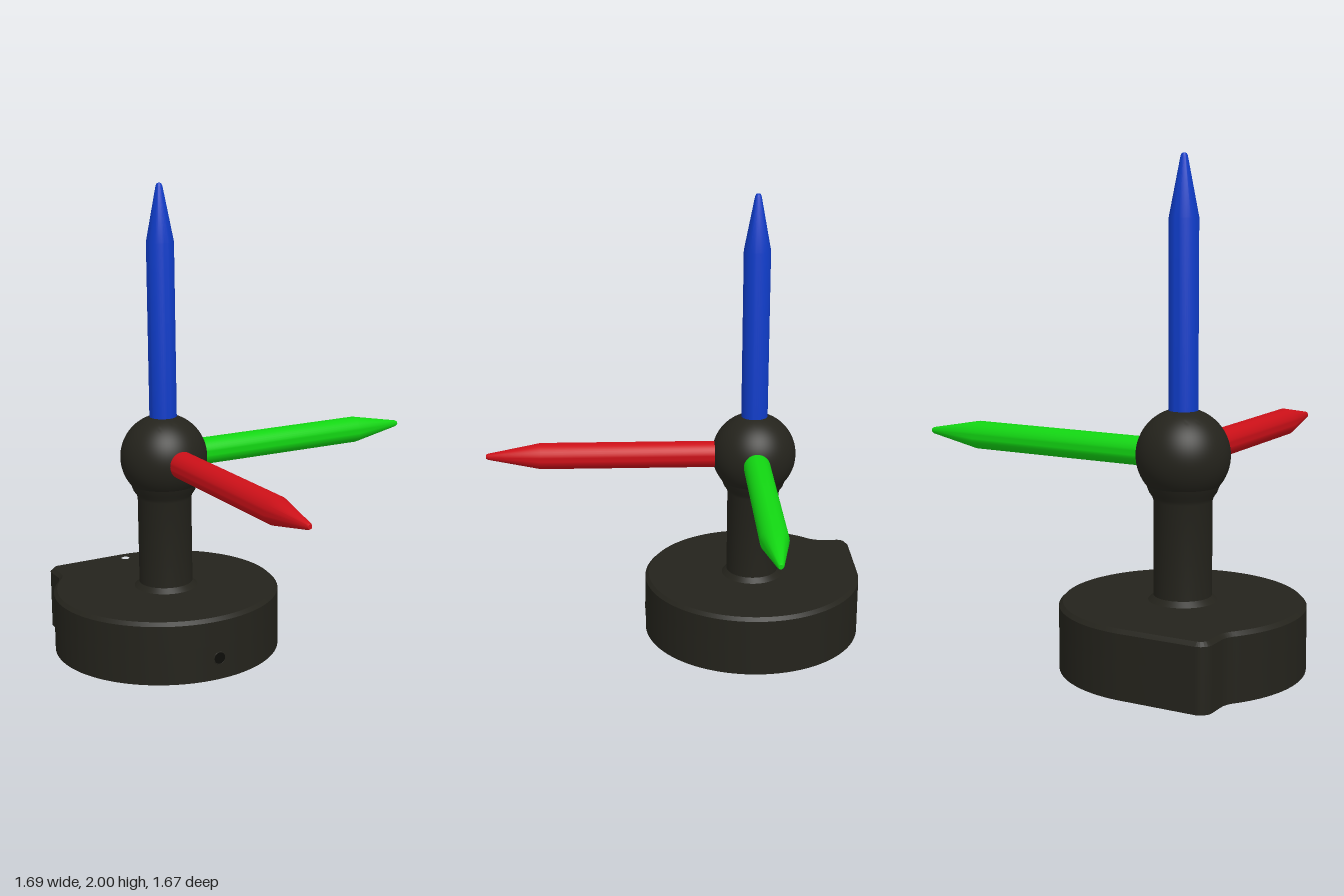
import * as THREE from 'three';
import { toCreasedNormals } from 'three/addons/utils/BufferGeometryUtils.js';

const DARK = 0x24231c;
const BALL_Y = 0.842, BASE_R = 0.485, PEN_R = 0.058;

function addMesh(parent, name, geometry, color, side = THREE.FrontSide) {
  const material = new THREE.MeshStandardMaterial({ color, side });
  const mesh = new THREE.Mesh(toCreasedNormals(geometry, 0.5), material);
  mesh.name = name;
  parent.add(mesh);
  return mesh;
}

function lathe(points, segments = 64) {
  return new THREE.LatheGeometry(points.map(([r, y]) => new THREE.Vector2(r, y)), segments);
}

function circleHole(x, y, r) {
  return new THREE.Path().absarc(x, y, r, 0, Math.PI * 2, true);
}

// Round plan with a square-cornered tab at the back right and one bolt hole
function basePlan() {
  const s = new THREE.Shape();
  s.moveTo(0, BASE_R);
  s.absarc(0, 0, BASE_R, Math.PI / 2, THREE.MathUtils.degToRad(142), true);
  s.quadraticCurveTo(-0.355, 0.33, -0.355, 0.365);
  s.lineTo(-0.355, 0.435);
  s.absarc(-0.305, 0.435, 0.05, Math.PI, Math.PI / 2, true);
  s.closePath();
  s.holes.push(circleHole(0, 0.415, 0.033));
  return s;
}

function extrudeUp(shape, y, options) {
  return new THREE.ExtrudeGeometry(shape, { curveSegments: 64, ...options })
    .rotateX(-Math.PI / 2).translate(0, y, 0);
}

// Rod with a tapered, blunt point, running along +y from the ball centre
function pencil(name, length, color) {
  const profile = [[0, 0.1], [PEN_R, 0.1], [PEN_R, length - 0.242],
    [0.014, length - 0.012], [0.009, length - 0.002], [0, length]];
  const group = new THREE.Group();
  group.name = name;
  group.position.y = BALL_Y;
  addMesh(group, name + 'Rod', lathe(profile, 40), color);
  return group;
}

export function createModel() {
  const model = new THREE.Group();
  model.name = 'axisStand';
  model.position.set(-0.365, 0, -0.35);

  // Base: plain lower body with a central screw hole, chamfered upper body
  const base = new THREE.Group();
  base.name = 'base';
  const lowerPlan = basePlan();
  lowerPlan.holes.push(circleHole(0, 0, 0.085));
  addMesh(base, 'baseLower', extrudeUp(lowerPlan, 0, { depth: 0.15, bevelEnabled: false }), DARK);
  addMesh(base, 'baseUpper', extrudeUp(basePlan(), 0.15, {
    depth: 0.103, bevelThickness: 0.015, bevelSize: 0.015, bevelOffset: -0.015, bevelSegments: 1,
  }), DARK);
  addMesh(base, 'screwSocket', lathe([[0.085, 0], [0.05, 0.05], [0.05, 0.13], [0, 0.13]], 32),
    DARK, THREE.DoubleSide);

  // Small pin hole in the front wall
  const pin = new THREE.Group();
  pin.name = 'frontPinHole';
  pin.position.set(0, 0.092, BASE_R);
  addMesh(pin, 'pinHoleFloor', new THREE.CircleGeometry(0.025, 24).translate(0, 0, 0.001), 0x0c0c09);
  addMesh(pin, 'pinHoleRim', new THREE.TorusGeometry(0.026, 0.002, 6, 24), DARK);
  base.add(pin);
  model.add(base);

  // Column with a chamfered foot and a flared neck under the ball
  addMesh(model, 'column', lathe([[0.136, 0.262], [0.136, 0.268], [0.115, 0.288],
    [0.115, 0.665], [0.12, 0.68], [0.132, 0.697], [0.145, 0.73]]), DARK);
  const ball = addMesh(model, 'ball', new THREE.SphereGeometry(0.185, 64, 40), DARK);
  ball.position.y = BALL_Y;

  // One pencil along each axis
  const up = pencil('upPencil', 1.158, 0x0f3cc8);
  const side = pencil('leftPencil', 1.21, 0x12d612);
  side.rotation.z = -Math.PI / 2;
  const front = pencil('frontPencil', 1.185, 0xcc1018);
  front.rotation.x = Math.PI / 2;
  model.add(up, side, front);

  const root = new THREE.Group();
  root.name = 'model';
  root.add(model);
  return root;
}
